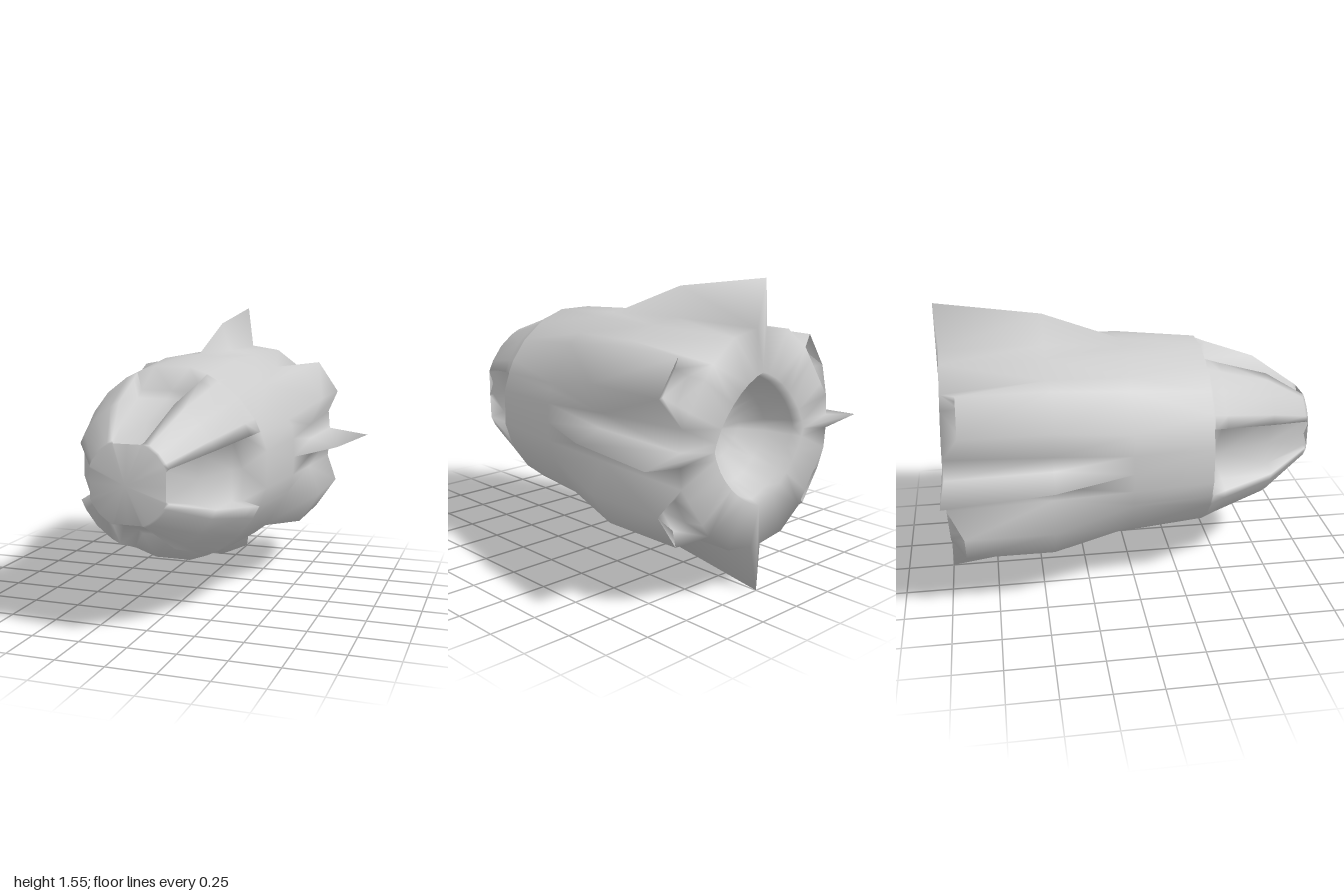
import * as THREE from 'three';
import { mergeVertices } from 'three/addons/utils/BufferGeometryUtils.js';

const grey = new THREE.MeshStandardMaterial({ color: 0xcccccc });
const rad = THREE.MathUtils.degToRad;
const polar = (r, deg, z) => [r * Math.cos(rad(deg)), r * Math.sin(rad(deg)), z];
const gap = (p, q) => Math.hypot(p[0] - q[0], p[1] - q[1], p[2] - q[2]);

// Mirrors a quarter section (from +x round to +y) into a full closed ring.
function fullRing(q) {
  const flip = (sx, sy) => q.map(([x, y, z]) => [x * sx, y * sy, z]);
  return [
    ...q.slice(0, -1),
    ...flip(-1, 1).reverse().slice(0, -1),
    ...flip(-1, -1).slice(0, -1),
    ...flip(1, -1).reverse().slice(0, -1),
  ];
}

// Skins closed rings ordered front to back, splitting each quad along its
// shorter diagonal so the quarters stay mirrored; collapsed triangles are dropped.
function loft(rings) {
  const n = rings[0].length, pts = rings.flat(), index = [];
  for (let i = 0; i < rings.length - 1; i++) {
    for (let j = 0; j < n; j++) {
      const a = i * n + j, b = i * n + (j + 1) % n, c = a + n, d = b + n;
      if (gap(pts[b], pts[c]) < gap(pts[a], pts[d])) index.push(a, c, b, b, c, d);
      else index.push(a, c, d, a, d, b);
    }
  }
  let geo = new THREE.BufferGeometry();
  geo.setAttribute('position', new THREE.Float32BufferAttribute(pts.flat(), 3));
  geo.setIndex(index);
  geo = mergeVertices(geo, 1e-4);
  const kept = [], ix = geo.index.array;
  for (let i = 0; i < ix.length; i += 3) {
    const [a, b, c] = [ix[i], ix[i + 1], ix[i + 2]];
    if (a !== b && b !== c && a !== c) kept.push(a, b, c);
  }
  geo.setIndex(kept);
  geo.computeVertexNormals();
  return geo;
}

// Nose section: round, with a channel of the given floor height on both axes.
function noseQuarter(z, r, floor = r * Math.cos(rad(22)), edge = 0.88) {
  const side = r * Math.sin(rad(22)) * edge;
  return [
    [floor, 0, z], [floor, side, z],
    ...[22, 30, 45, 60, 68].map(deg => polar(r, deg, z)),
    [side, floor, z], [0, floor, z],
  ];
}

// Tail section: fin, fin root, pod corners, crown, fin root, fin.
function tailQuarter(z, fin, w) {
  return [
    [fin, 0, z], [0.54, w, z], [0.53, 0.12, z], [0.6, 0.275, z], [0.48, 0.45, z],
    [0.33, 0.45, z], [0.2, 0.515, z], [w, 0.54, z], [0, fin, z],
  ];
}

// Section of the tail lip and the nozzle bowl, drawn in a little on the diagonals.
const bowlQuarter = (z, r) => [0, 7, 20, 32, 45, 58, 70, 83, 90]
  .map(deg => polar(r * (1 - 0.12 * Math.sin(rad(2 * deg))), deg, z));

// Tail end: the pod corners stay ahead of the rim, with a slanted pit behind them.
function tailEnd() {
  const rim = tailQuarter(-0.985, 0.775, 0.035);
  rim[0][2] = rim[8][2] = -1;
  rim[2] = [0.53, 0.14, -0.985];
  rim[5] = [0.34, 0.41, -0.985];
  rim[3][2] = rim[4][2] = -0.905;
  const chord = t => rim[2].map((v, k) => v + (rim[5][k] - v) * t);
  const withPair = (c, b) => rim.map((p, i) => (i === 3 ? c : i === 4 ? b : p));
  return [
    rim,
    withPair([0.53, 0.265, -0.86], [0.455, 0.385, -0.86]),
    withPair([0.475, 0.225, -0.89], [0.4, 0.35, -0.89]),
    withPair(chord(0.25), chord(0.75)),
  ];
}

// Hull with sunken intakes, fins and pods drawn out of one skin.
function hull() {
  const shoulder = [
    [0.54, 0, -0.04], [0.535, 0.1, -0.04], [0.525, 0.17, -0.04], [0.505, 0.2, -0.04],
    [0.385, 0.39, -0.04], [0.32, 0.44, -0.04], [0.2, 0.515, -0.04], [0.1, 0.53, -0.04],
    [0, 0.54, -0.04],
  ];
  const quarters = [
    noseQuarter(1, 0),
    noseQuarter(0.97, 0.205),
    noseQuarter(0.955, 0.215, 0.175),
    noseQuarter(0.73, 0.38, 0.26),
    noseQuarter(0.46, 0.475, 0.345),
    noseQuarter(0.39, 0.503, 0.38),
    noseQuarter(0.38, 0.507, 0.503, 0.5),
    shoulder,
    tailQuarter(-0.45, 0.695, 0.045),
    ...tailEnd(),
    bowlQuarter(-1, 0.33),
    bowlQuarter(-0.95, 0.31),
    bowlQuarter(-0.82, 0.25),
    bowlQuarter(-0.74, 0.14),
    bowlQuarter(-0.72, 0),
  ];
  const mesh = new THREE.Mesh(loft(quarters.map(fullRing)), grey);
  mesh.name = 'hull';
  return mesh;
}

export function createModel() {
  const model = new THREE.Group();
  model.name = 'spacePod';
  const body = hull();
  body.position.y = 0.775;
  model.add(body);
  return model;
}
